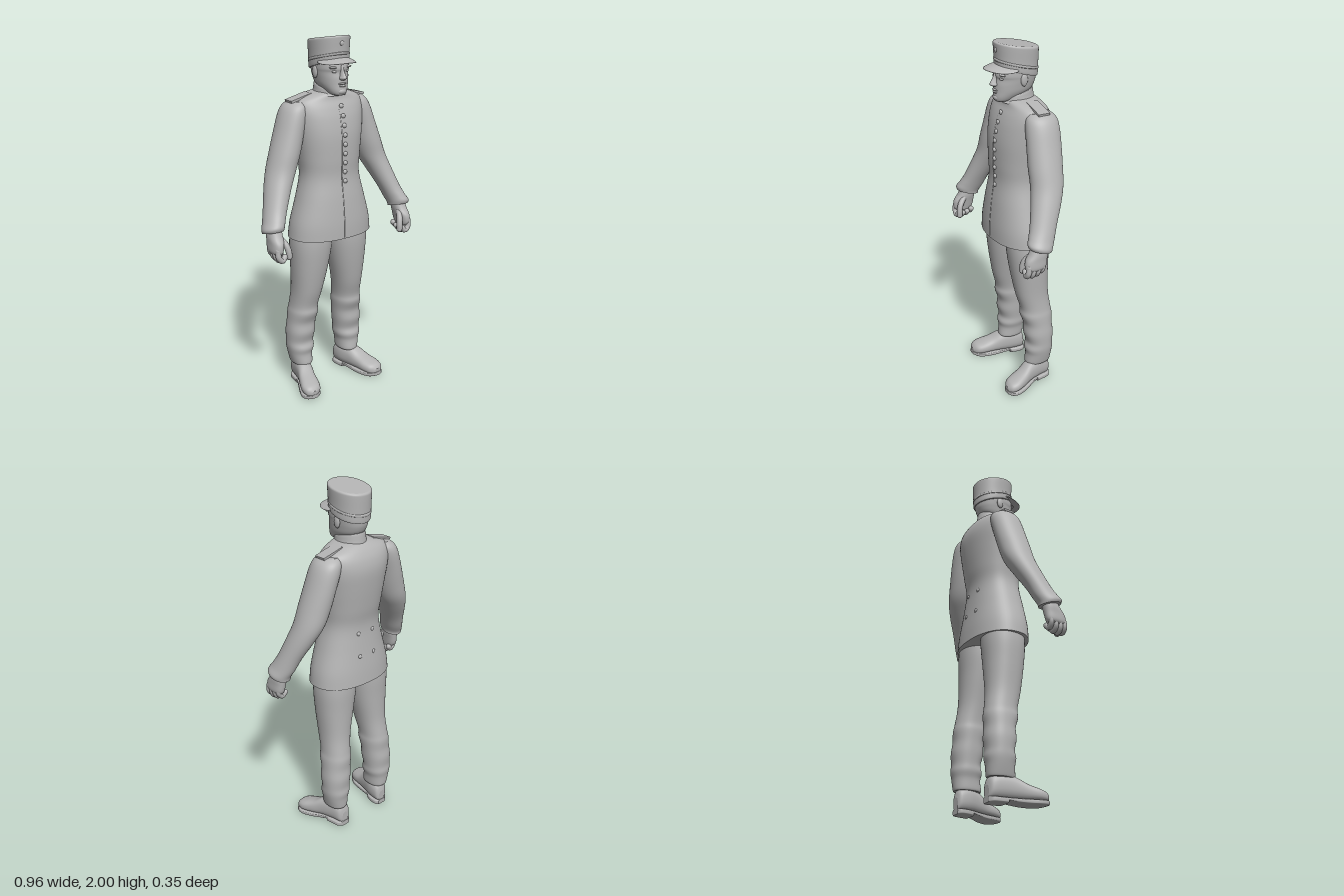
import * as THREE from 'three';
import { mergeGeometries } from 'three/addons/utils/BufferGeometryUtils.js';

const grey = new THREE.MeshStandardMaterial({ color: 0xb4b4b4 });
grey.name = 'plain grey';

// Smoothly resample a list of rings [y, centreX, frontZ, backZ, halfWidth, tilt]
function resample(rings, steps) {
  const out = [], n = rings.length;
  const val = (i, k) => rings[Math.min(n - 1, Math.max(0, i))][k] ?? 0;
  for (let s = 0; s <= (n - 1) * steps; s++) {
    const i = Math.min(n - 2, Math.floor(s / steps)), t = s / steps - i;
    out.push([0, 1, 2, 3, 4, 5].map((k) => {
      const a = val(i - 1, k), b = val(i, k), c = val(i + 1, k), d = val(i + 2, k);
      return b + 0.5 * t * (c - a + t * (2 * a - 5 * b + 4 * c - d + t * (3 * (b - c) + d - a)));
    }));
  }
  return out;
}

// Skin a stack of superellipse rings (listed from low to high) and close both ends
function loft(rings, { p = 2, seg = 40, steps = 5 } = {}) {
  const rows = resample(rings, steps), pos = [], idx = [];
  const pow = (v) => Math.sign(v) * Math.abs(v) ** (2 / p);
  const ring = ([y, cx, f, b, rx, tilt]) => {
    for (let i = 0; i < seg; i++) {
      const a = (i / seg) * Math.PI * 2, dz = pow(Math.cos(a)) * (f - b) / 2;
      pos.push(cx + pow(Math.sin(a)) * rx, y + tilt * dz, (f + b) / 2 + dz);
    }
  };
  rows.forEach(ring);
  for (let j = 0; j < rows.length - 1; j++) {
    for (let i = 0; i < seg; i++) {
      const a = j * seg + i, b = j * seg + (i + 1) % seg;
      idx.push(a, b, b + seg, a, b + seg, a + seg);
    }
  }
  for (const end of [0, rows.length - 1]) {
    const r = rows[end], start = pos.length / 3;
    ring(r);
    pos.push(r[1], r[0], (r[2] + r[3]) / 2);
    for (let i = 0; i < seg; i++) {
      const a = start + i, b = start + (i + 1) % seg;
      idx.push(...(end ? [a, b, start + seg] : [b, a, start + seg]));
    }
  }
  const g = new THREE.BufferGeometry();
  g.setAttribute('position', new THREE.Float32BufferAttribute(pos, 3));
  g.setIndex(idx);
  g.computeVertexNormals();
  return g;
}

// Round-ended tube through points
function finger(points, r) {
  const v = points.map((q) => new THREE.Vector3(...q));
  const tip = (q) => new THREE.SphereGeometry(r, 12, 8).translate(q.x, q.y, q.z);
  return mergeGeometries([
    new THREE.TubeGeometry(new THREE.CatmullRomCurve3(v), 12, r, 12), tip(v[0]), tip(v[v.length - 1])]);
}

function ball(x, y, z, sx, sy, sz) {
  return new THREE.SphereGeometry(1, 20, 14).scale(sx, sy, sz).translate(x, y, z);
}

function mirrored(geo) {
  const g = geo.clone().scale(-1, 1, 1), ix = g.index;
  for (let i = 0; i < ix.count; i += 3) {
    const a = ix.getX(i);
    ix.setX(i, ix.getX(i + 2));
    ix.setX(i + 2, a);
  }
  return g;
}

export function createModel() {
  const model = new THREE.Group();
  model.name = 'uniformedFigure';
  const add = (name, geo) => {
    const m = new THREE.Mesh(geo, grey);
    m.name = name;
    model.add(m);
  };
  const pair = (name, geo) => {
    add('left' + name, geo);
    add('right' + name, mirrored(geo));
  };

  // Jacket: flared skirt, narrow waist, full chest
  const body = [
    [0.912, 0, 0.15, -0.168, 0.248], [1.0, 0, 0.148, -0.162, 0.236], [1.13, 0, 0.136, -0.148, 0.2],
    [1.25, 0, 0.12, -0.14, 0.172], [1.35, 0, 0.122, -0.155, 0.178], [1.47, 0, 0.12, -0.17, 0.195],
    [1.56, 0, 0.106, -0.176, 0.208], [1.62, 0, 0.087, -0.166, 0.212], [1.662, 0, 0.068, -0.145, 0.195],
    [1.69, 0, 0.062, -0.12, 0.13], [1.703, 0, 0.055, -0.1, 0.07]];
  add('jacket', loft(body, { p: 2.25, seg: 56 }));
  add('collar', loft([
    [1.675, 0, 0.082, -0.115, 0.09, 0.1], [1.7, 0, 0.078, -0.108, 0.078, -0.1],
    [1.73, 0, 0.074, -0.103, 0.073, -0.2], [1.734, 0, 0.066, -0.096, 0.066, -0.2]]));

  // Buttons and front closing seam follow the jacket profile
  const profile = resample(body, 8);
  const at = (y) => profile.find((r) => r[0] >= y);
  for (let i = 0; i < 9; i++) {
    const y = 1.23 + i * 0.05;
    add('frontButton', ball(0.012, y, at(y)[2] + 0.002, 0.013, 0.013, 0.009));
  }
  const seam = [];
  for (let y = 0.92; y < 1.67; y += 0.05) seam.push(new THREE.Vector3(-0.006, y, at(y)[2] - 0.001));
  add('frontSeam', new THREE.TubeGeometry(new THREE.CatmullRomCurve3(seam), 40, 0.004, 6));
  for (const y of [1.08, 1.21]) pair('BackButton', ball(0.05, y, at(y)[3] + 0.005, 0.012, 0.012, 0.009));
  pair('ShoulderStrap', new THREE.BoxGeometry(0.13, 0.012, 0.065).rotateZ(-0.24).translate(0.172, 1.676, -0.045));

  // Sleeves
  pair('Sleeve', loft([
    [1.015, 0.421, 0.142, 0.016, 0.055, 0.25], [1.035, 0.42, 0.146, 0.012, 0.059, 0.25],
    [1.07, 0.404, 0.132, -0.008, 0.058, 0.15], [1.13, 0.379, 0.11, -0.036, 0.061], [1.23, 0.336, 0.08, -0.085, 0.071],
    [1.31, 0.3, 0.062, -0.115, 0.079], [1.4, 0.268, 0.058, -0.128, 0.081], [1.5, 0.237, 0.05, -0.138, 0.077],
    [1.59, 0.208, 0.042, -0.142, 0.074], [1.635, 0.192, 0.03, -0.132, 0.065], [1.66, 0.18, 0.005, -0.105, 0.045]]));

  // Hands with curled fingers
  pair('Palm', loft([
    [0.905, 0.425, 0.155, 0.065, 0.022], [0.925, 0.428, 0.168, 0.05, 0.03], [0.965, 0.424, 0.165, 0.043, 0.034],
    [1.0, 0.42, 0.14, 0.04, 0.037], [1.04, 0.415, 0.12, 0.04, 0.034]], { p: 2.4, seg: 28 }));
  for (let i = 0; i < 4; i++) {
    const z = 0.152 - i * 0.027, low = [0.876, 0.872, 0.876, 0.888][i];
    pair('Finger', finger([[0.438, 0.935, z], [0.436, low + 0.02, z + 0.004], [0.415, low, z + 0.004],
      [0.396, low + 0.018, z]], 0.0155));
  }
  pair('Thumb', finger([[0.4, 0.985, 0.115], [0.382, 0.95, 0.145], [0.374, 0.915, 0.156], [0.373, 0.89, 0.157]], 0.0165));

  // Trousers, loosely creased below the knee
  pair('TrouserLeg', loft([
    [0.128, 0.163, 0.008, -0.138, 0.054], [0.14, 0.163, 0.012, -0.142, 0.059], [0.19, 0.167, 0.006, -0.146, 0.067],
    [0.23, 0.165, 0.012, -0.152, 0.076], [0.27, 0.165, 0.002, -0.149, 0.077], [0.33, 0.162, 0.016, -0.153, 0.081],
    [0.39, 0.157, 0.014, -0.147, 0.08], [0.45, 0.152, 0.034, -0.149, 0.081], [0.5, 0.148, 0.034, -0.141, 0.077],
    [0.6, 0.138, 0.06, -0.129, 0.084], [0.75, 0.126, 0.085, -0.13, 0.104], [0.88, 0.118, 0.097, -0.135, 0.116],
    [1.0, 0.11, 0.09, -0.13, 0.11]], { p: 2.2 }));

  // Shoes are skinned from heel to toe, then laid along z
  const lay = (rings, p) => loft(rings.map(([t, x, top, base, w]) => [t, x, -base, -top, w]), { p, seg: 32 }).rotateX(Math.PI / 2);
  pair('Shoe', lay([
    [-0.138, 0.15, 0.09, 0.02, 0.022], [-0.122, 0.153, 0.135, 0.018, 0.042], [-0.065, 0.16, 0.155, 0.018, 0.05],
    [0, 0.178, 0.14, 0.018, 0.05], [0.055, 0.198, 0.108, 0.016, 0.054], [0.11, 0.214, 0.088, 0.015, 0.058],
    [0.15, 0.221, 0.073, 0.015, 0.046], [0.169, 0.224, 0.052, 0.02, 0.018]], 2.4));
  pair('Heel', lay([
    [-0.14, 0.15, 0.03, 0, 0.026], [-0.122, 0.153, 0.03, 0, 0.045], [-0.08, 0.158, 0.03, 0, 0.049],
    [-0.045, 0.166, 0.03, 0, 0.046]], 5));
  pair('Sole', lay([
    [-0.045, 0.166, 0.03, 0.014, 0.042], [0, 0.18, 0.028, 0.006, 0.046], [0.055, 0.199, 0.026, 0, 0.055],
    [0.11, 0.215, 0.026, 0, 0.06], [0.15, 0.222, 0.028, 0.003, 0.048], [0.171, 0.225, 0.03, 0.008, 0.02]], 5));

  // Head and neck
  add('neck', loft([[1.66, 0, 0.055, -0.09, 0.062], [1.73, 0, 0.06, -0.095, 0.062], [1.8, 0, 0.06, -0.1, 0.065]]));
  add('head', loft([
    [1.688, 0, 0.1, 0.05, 0.022], [1.696, 0, 0.112, 0.01, 0.042], [1.715, 0, 0.116, -0.04, 0.058],
    [1.745, 0, 0.113, -0.092, 0.074], [1.78, 0, 0.111, -0.112, 0.082], [1.81, 0, 0.106, -0.118, 0.087],
    [1.835, 0, 0.11, -0.12, 0.09], [1.9, 0, 0.095, -0.118, 0.09]], { p: 2.15 }));
  add('nose', loft([
    [1.77, 0, 0.122, 0.08, 0.012], [1.78, 0, 0.139, 0.08, 0.019], [1.792, 0, 0.137, 0.08, 0.015],
    [1.815, 0, 0.124, 0.08, 0.01], [1.845, 0, 0.112, 0.08, 0.011]], { seg: 20 }));
  add('upperLip', ball(0, 1.752, 0.11, 0.024, 0.006, 0.01));
  add('lowerLip', ball(0, 1.74, 0.108, 0.021, 0.007, 0.011));
  add('chin', ball(0, 1.711, 0.1, 0.028, 0.018, 0.02));
  pair('Eye', ball(0.036, 1.815, 0.091, 0.016, 0.008, 0.011));
  pair('Brow', ball(0.038, 1.836, 0.095, 0.026, 0.007, 0.012).rotateY(0.06));
  pair('Ear', ball(0.088, 1.808, -0.012, 0.011, 0.034, 0.02));

  // Cap with a sloping crown, band ridge and curved peak
  add('cap', loft([
    [1.838, 0, 0.1, -0.123, 0.098, 0.28], [1.85, 0, 0.103, -0.126, 0.101, 0.28], [1.9, 0, 0.104, -0.128, 0.102, 0.2],
    [1.958, 0, 0.107, -0.13, 0.105, 0.17], [1.974, 0, 0.106, -0.129, 0.104, 0.16],
    [1.98, 0, 0.098, -0.121, 0.097, 0.155]], { p: 2.1, seg: 48 }));
  add('capBand', loft([
    [1.87, 0, 0.103, -0.127, 0.1, 0.25], [1.874, 0, 0.108, -0.131, 0.105, 0.25], [1.882, 0, 0.108, -0.131, 0.105, 0.25],
    [1.886, 0, 0.103, -0.127, 0.1, 0.25]], { seg: 48 }));
  const peak = new THREE.SphereGeometry(1, 40, 20), q = peak.attributes.position;
  for (let i = 0; i < q.count; i++) {
    const x = q.getX(i), y = q.getY(i), z = q.getZ(i);
    q.setXYZ(i, x * 0.106, 1.883 + y * 0.012 - 0.02 * Math.max(0, z) - 0.024 * x * x, 0.04 + z * (z > 0 ? 0.127 : 0.04));
  }
  peak.computeVertexNormals();
  add('capPeak', peak);
  add('capBadge', ball(0, 1.958, 0.105, 0.013, 0.013, 0.007));
  return model;
}
